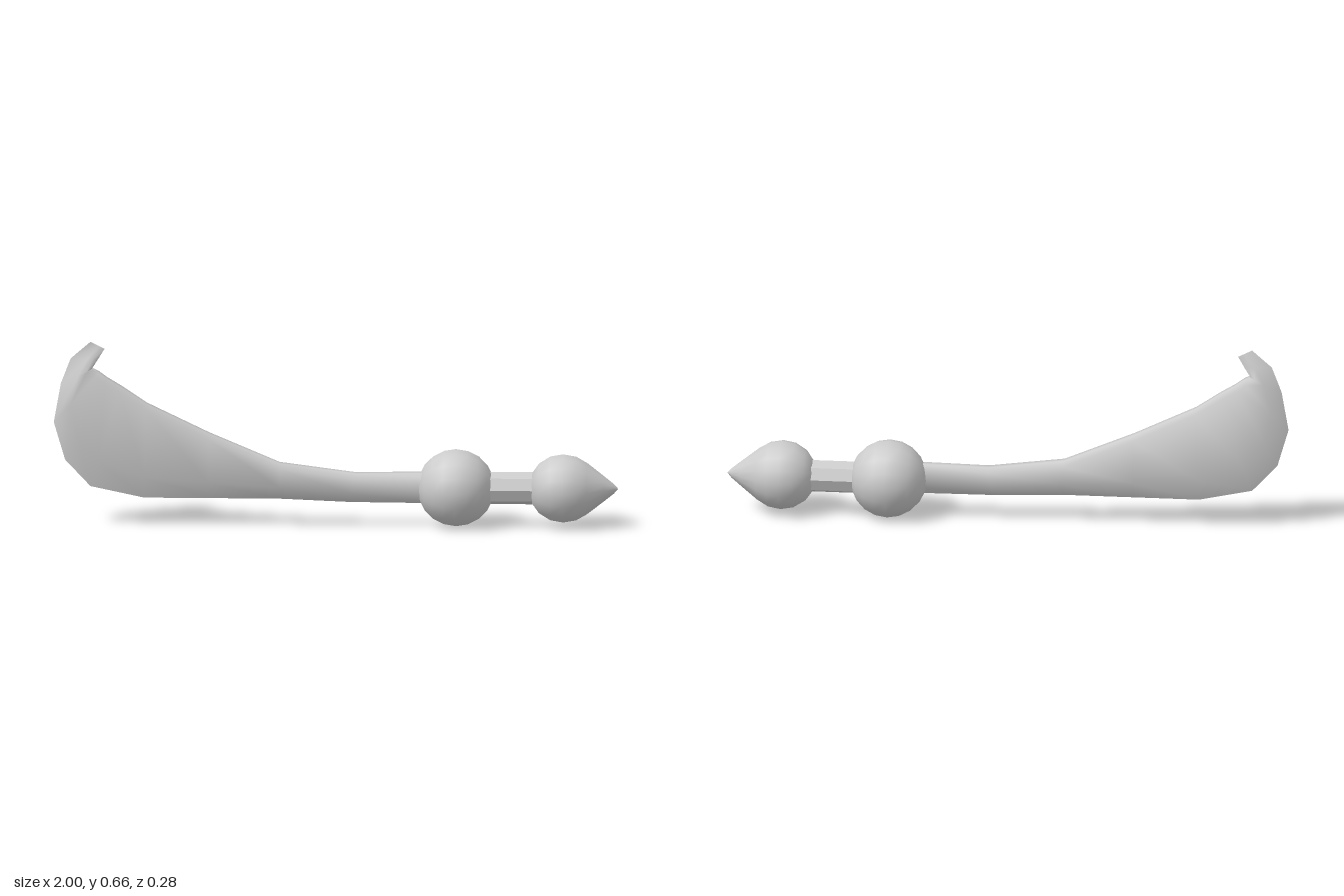
import * as THREE from 'three';
import { toCreasedNormals } from 'three/addons/utils/BufferGeometryUtils.js';

const material = new THREE.MeshStandardMaterial({ color: 0xcccccc });
const AXIS_Y = 0.142;

// Solid of revolution about the handle axis; profile is [x, radius] pairs
function turned(name, profile, sides, crease) {
  const points = profile.map(([x, r]) => new THREE.Vector2(r, x));
  let geometry = new THREE.LatheGeometry(points, sides);
  geometry.rotateZ(-Math.PI / 2);
  if (crease) geometry = toCreasedNormals(geometry, crease);
  const mesh = new THREE.Mesh(geometry, material);
  mesh.name = name;
  mesh.position.y = AXIS_Y;
  return mesh;
}

// Blade lofted through wedge sections running from spine to cutting edge
function createBlade() {
  // spine x, spine y, edge x, edge y, half thickness, bevel depth
  const stations = [
    [0.36, 0.2, 0.36, 0.088, 0.03, 0.035],
    [0.07, 0.195, 0.05, 0.09, 0.03, 0.035],
    [-0.2, 0.23, -0.2, 0.1, 0.03, 0.045],
    [-0.45, 0.335, -0.45, 0.1, 0.03, 0.06],
    [-0.67, 0.44, -0.68, 0.1, 0.03, 0.08],
    [-0.76, 0.5, -0.87, 0.14, 0.03, 0.1],
    [-0.81, 0.53, -0.96, 0.235, 0.03, 0.1],
    [-0.84, 0.552, -1.0, 0.37, 0.03, 0.09],
    [-0.865, 0.565, -0.975, 0.51, 0.029, 0.07],
    [-0.842, 0.6, -0.94, 0.6, 0.015, 0.06],
    [-0.82, 0.635, -0.87, 0.66, 0, 0.03],
  ];
  const position = [], index = [];
  const n = 7;
  for (const [sx, sy, ex, ey, w, bevel] of stations) {
    const length = Math.hypot(ex - sx, ey - sy);
    const shoulder = 0.018 / length, b = 1 - bevel / length;
    const ring = [
      [0, 0.5], [shoulder, 1], [b, 1], [1, 0], [b, -1], [shoulder, -1], [0, -0.5],
    ];
    for (const [t, side] of ring) {
      position.push(sx + (ex - sx) * t, sy + (ey - sy) * t, 0.014 + side * w);
    }
  }
  for (let i = 0; i < stations.length - 1; i++) {
    for (let j = 0; j < n; j++) {
      const a = i * n + j, b = i * n + (j + 1) % n;
      index.push(a, a + n, b, b, a + n, b + n);
    }
  }
  const geometry = new THREE.BufferGeometry();
  geometry.setAttribute('position', new THREE.Float32BufferAttribute(position, 3));
  geometry.setIndex(index);
  const mesh = new THREE.Mesh(toCreasedNormals(geometry, 1.1), material);
  mesh.name = 'blade';
  return mesh;
}

export function createModel() {
  const group = new THREE.Group();
  group.name = 'curvedKnife';
  group.add(createBlade());

  // Round guard between blade and grip
  const guard = [];
  for (let i = 0; i <= 10; i++) {
    const a = (i / 10) * Math.PI;
    guard.push([0.425 - 0.137 * Math.cos(a), 0.139 * Math.sin(a)]);
  }
  group.add(turned('guard', guard, 16));

  // Faceted grip
  group.add(turned('grip', [[0.5, 0.058], [0.75, 0.058]], 8, 0.4));

  // Drop-shaped pommel
  group.add(turned('pommel', [
    [0.685, 0], [0.695, 0.055], [0.72, 0.09], [0.76, 0.115], [0.805, 0.123],
    [0.85, 0.115], [0.89, 0.092], [0.95, 0.045], [0.985, 0.017], [1, 0],
  ], 16));
  return group;
}
